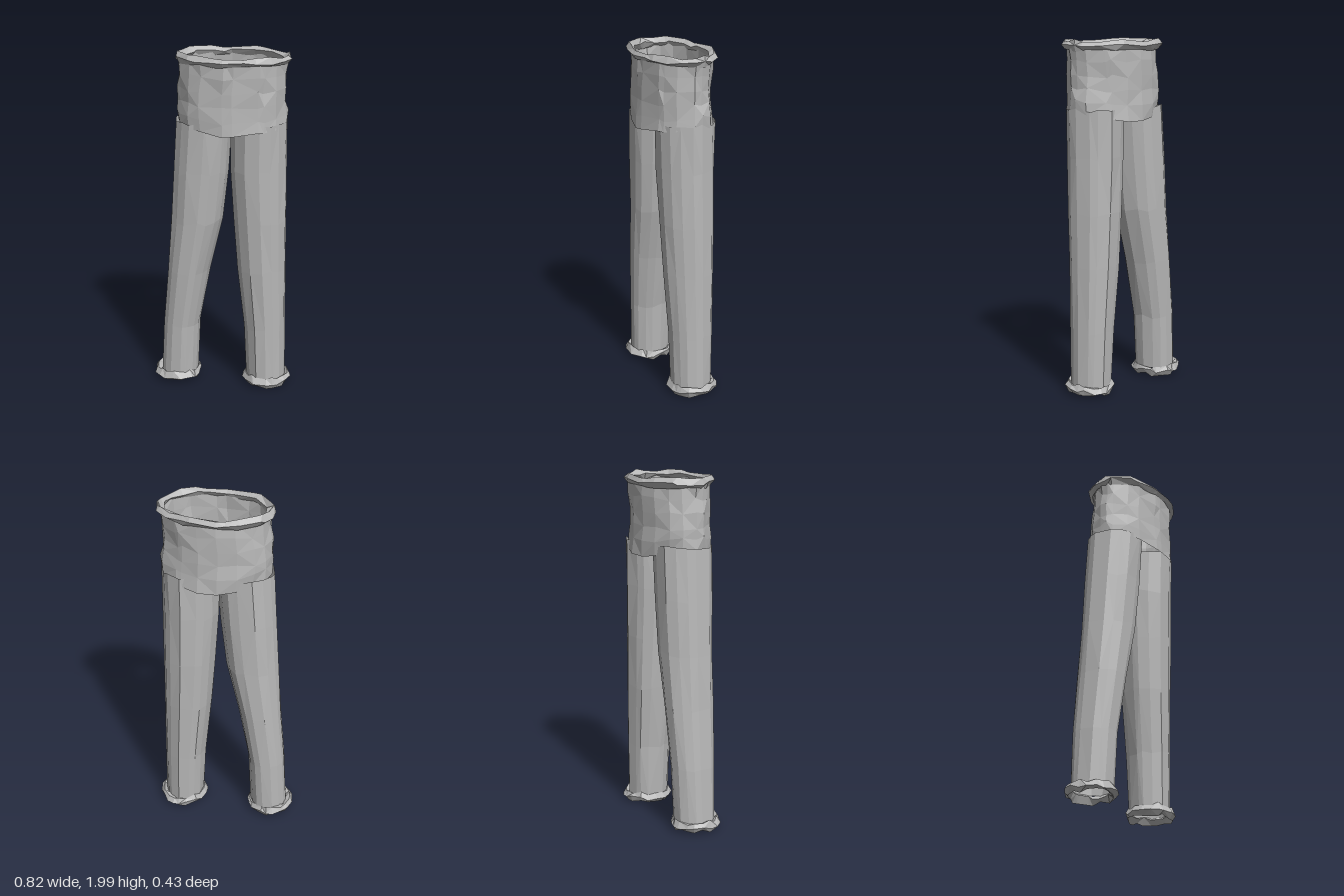
import * as THREE from 'three';

const cloth = new THREE.MeshStandardMaterial({ color: 0xb8b8b8, side: THREE.DoubleSide });
cloth.name = 'grey cloth';

// Small seeded generator, returning -1..1
function seeded(seed) {
  let s = seed;
  return () => {
    s = (s * 16807) % 2147483647;
    return (s / 2147483647) * 2 - 1;
  };
}

// Faceted sleeve through elliptical rings [y, cx, cz, rx, rz, dip].
// pleat: shift per column, rough: shift per point, lift: vertical shift per point,
// dip: how far the ring sags at front and back, closed: joins last ring to first.
function sleeve(name, rings, sides, { seed = 1, pleat = 0, rough = 0, lift = 0, closed = false }) {
  const rnd = seeded(seed * 7919 + 13);
  for (let i = 0; i < 5; i++) rnd();
  const columns = Array.from({ length: sides }, () => [rnd() * pleat, rnd() * 0.12]);
  const positions = [], index = [];
  for (const [y, cx, cz, rx, rz, dip = 0] of rings) {
    for (let j = 0; j < sides; j++) {
      const [shift, turn] = columns[j];
      const a = ((j + 0.5) / sides) * Math.PI * 2 + turn;
      const r = 1 + shift + rnd() * rough;
      positions.push(
        cx + Math.cos(a) * rx * r,
        y - dip * Math.sin(a) ** 2 + rnd() * lift,
        cz + Math.sin(a) * rz * r
      );
    }
  }
  const count = rings.length;
  for (let i = 0; i < (closed ? count : count - 1); i++) {
    const k = (i + 1) % count;
    for (let j = 0; j < sides; j++) {
      const m = (j + 1) % sides;
      const a = i * sides + j, b = i * sides + m, c = k * sides + m, d = k * sides + j;
      if ((i + j) % 2) index.push(a, d, b, b, d, c);
      else index.push(a, d, c, a, c, b);
    }
  }
  const indexed = new THREE.BufferGeometry();
  indexed.setAttribute('position', new THREE.Float32BufferAttribute(positions, 3));
  indexed.setIndex(index);
  const geometry = indexed.toNonIndexed(); // separate corners give flat facets
  geometry.computeVertexNormals();
  const mesh = new THREE.Mesh(geometry, cloth);
  mesh.name = name;
  return mesh;
}

// Leg ring from its left/right and back/front limits
const span = (y, x0, x1, z0, z1) => [y, (x0 + x1) / 2, (z0 + z1) / 2, (x1 - x0) / 2, (z1 - z0) / 2];

// Rolled hem with a four-point cross-section
function hem(name, cx, cz, y, height, rx, rz, width, sides, options) {
  return sleeve(name, [
    [y, cx, cz, rx - width * 0.5, rz - width * 0.5],
    [y + height * 0.45, cx, cz, rx, rz],
    [y + height, cx, cz, rx - width * 0.4, rz - width * 0.4],
    [y + height * 0.6, cx, cz, rx - width, rz - width],
  ], sides, { ...options, closed: true });
}

export function createModel() {
  const model = new THREE.Group();
  model.name = 'trousers';

  // Hip section, sagging at front and back
  model.add(sleeve('hips', [
    [1.61, 0.06, 0, 0.3, 0.2, 0.05],
    [1.67, 0.06, 0, 0.305, 0.195, 0.035],
    [1.73, 0.055, 0, 0.3, 0.192, 0.015],
    [1.8, 0.055, 0, 0.298, 0.192],
    [1.88, 0.065, 0, 0.298, 0.192],
    [1.96, 0.065, 0, 0.298, 0.19],
  ], 20, { seed: 3, rough: 0.03, lift: 0.012 }));

  // Waistband
  model.add(hem('waistband', 0.063, 0, 1.94, 0.05, 0.322, 0.218, 0.045, 22,
    { seed: 5, rough: 0.025, lift: 0.009 }));

  // Right leg, slanting outwards
  model.add(sleeve('rightLeg', [
    span(0.06, -0.37, -0.15, -0.145, 0.09),
    span(0.38, -0.352, -0.135, -0.155, 0.1),
    span(0.72, -0.322, -0.075, -0.163, 0.118),
    span(1.03, -0.3, 0, -0.167, 0.132),
    span(1.32, -0.283, 0.035, -0.17, 0.145),
    span(1.62, -0.262, 0.055, -0.17, 0.155),
  ], 15, { seed: 8, pleat: 0.03, rough: 0.02, lift: 0.012 }));

  // Left leg, nearly straight on its outer side
  model.add(sleeve('leftLeg', [
    span(0.06, 0.145, 0.375, -0.145, 0.09),
    span(0.38, 0.13, 0.374, -0.155, 0.1),
    span(0.75, 0.09, 0.372, -0.165, 0.12),
    span(1.05, 0.065, 0.37, -0.17, 0.135),
    span(1.35, 0.045, 0.368, -0.17, 0.147),
    span(1.62, 0.05, 0.368, -0.172, 0.155),
  ], 15, { seed: 11, pleat: 0.03, rough: 0.02, lift: 0.012 }));

  // Ankle cuffs
  [['rightCuff', -0.268, 17], ['leftCuff', 0.265, 23]].forEach(([name, x, seed]) => {
    model.add(hem(name, x, -0.028, 0.025, 0.055, 0.142, 0.145, 0.045, 18,
      { seed, rough: 0.05, lift: 0.013 }));
  });

  return model;
}
